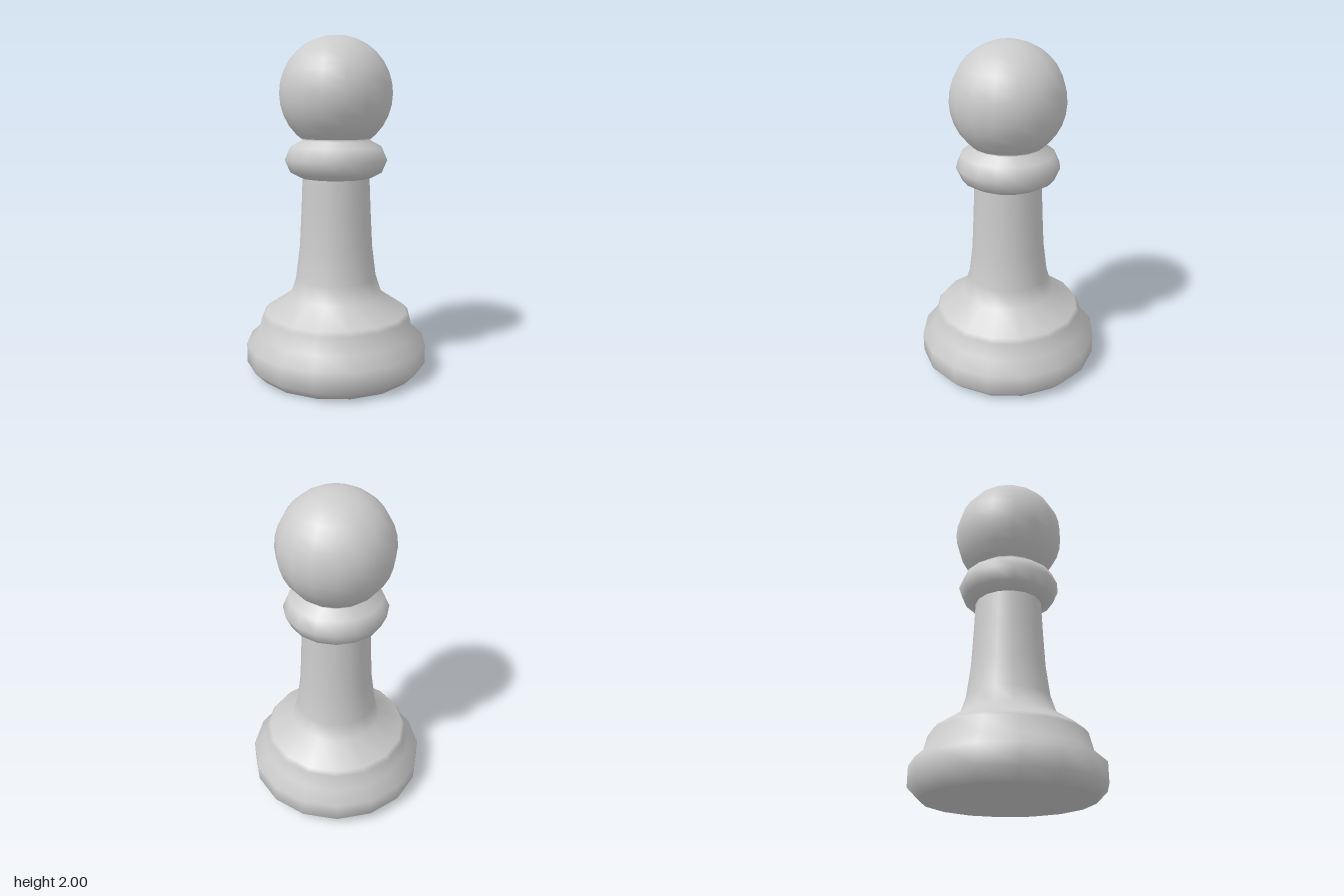
import * as THREE from 'three';

const SIDES = 16;
const material = new THREE.MeshStandardMaterial({ color: 0xcccccc });

// Turns a profile of [radius, height] pairs, listed bottom to top
function turned(name, profile) {
  const points = profile.map(([r, y]) => new THREE.Vector2(r, y));
  const mesh = new THREE.Mesh(new THREE.LatheGeometry(points, SIDES), material);
  mesh.name = name;
  return mesh;
}

export function createModel() {
  const model = new THREE.Group();
  model.name = 'pawn';

  // Stepped foot flowing into the tapering stem
  model.add(turned('baseAndStem', [
    [0, 0], [0.48, 0], [0.545, 0.065], [0.545, 0.18],
    [0.475, 0.245], [0.45, 0.345], [0.43, 0.37], [0.28, 0.47],
    [0.245, 0.575], [0.22, 0.77], [0.208, 1.0], [0.2, 1.2],
  ]));

  // Rounded ring under the head
  model.add(turned('collar', [
    [0.19, 1.175], [0.21, 1.178], [0.272, 1.21], [0.305, 1.285],
    [0.272, 1.36], [0.2, 1.397], [0.215, 1.42],
  ]));

  // Ball head
  const head = new THREE.Mesh(new THREE.SphereGeometry(0.333, SIDES, SIDES), material);
  head.name = 'head';
  head.position.y = 1.667;
  model.add(head);

  return model;
}
